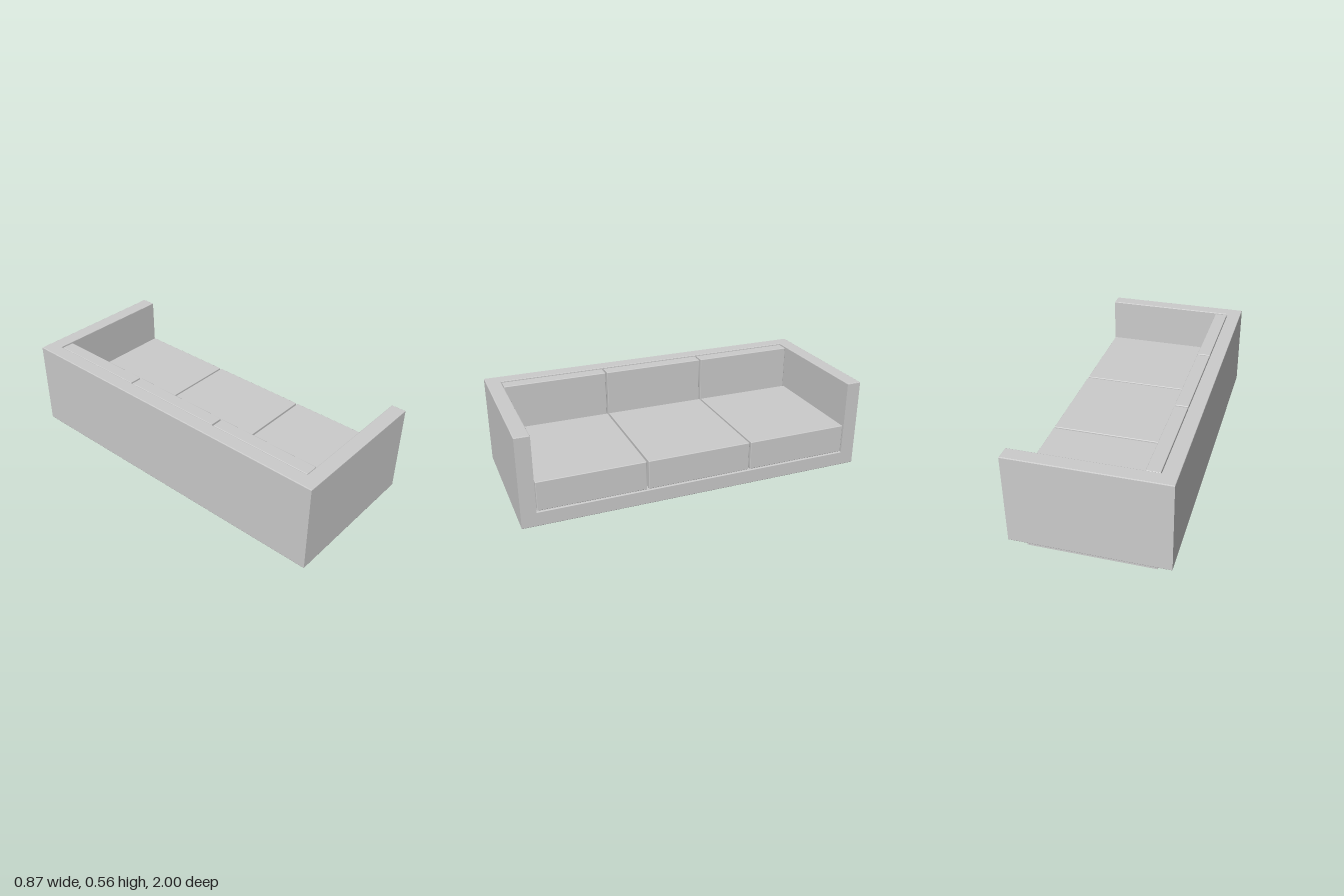
import * as THREE from 'three';
import { RoundedBoxGeometry } from 'three/addons/geometries/RoundedBoxGeometry.js';

const material = new THREE.MeshStandardMaterial({ color: 0xcccccc });
const BEVEL = 0.004;

// Soft-edged block given by its lower and upper limits on each axis
function block(name, [x0, x1], [y0, y1], [z0, z1]) {
  const geometry = new RoundedBoxGeometry(x1 - x0, y1 - y0, z1 - z0, 2, BEVEL);
  const mesh = new THREE.Mesh(geometry, material);
  mesh.name = name;
  mesh.position.set((x0 + x1) / 2, (y0 + y1) / 2, (z0 + z1) / 2);
  return mesh;
}

export function createModel() {
  const sofa = new THREE.Group();
  sofa.name = 'sofa';

  const depth = 0.433, half = 1, wall = 0.083;
  const bottom = 0.047, top = 0.565, deck = bottom + wall;
  const inner = half - wall, back = -depth + wall;

  // Arms and back: one U-shaped wall, open towards +x
  const plan = new THREE.Shape([
    [-depth, -half], [depth, -half], [depth, -inner], [back, -inner],
    [back, inner], [depth, inner], [depth, half], [-depth, half],
  ].map(([x, z]) => new THREE.Vector2(x, z)));
  const wallGeometry = new THREE.ExtrudeGeometry(plan, {
    depth: top - bottom - 2 * BEVEL,
    bevelThickness: BEVEL, bevelSize: BEVEL, bevelOffset: -BEVEL, bevelSegments: 2,
  });
  wallGeometry.rotateX(-Math.PI / 2).translate(0, bottom + BEVEL, 0);
  const walls = new THREE.Mesh(wallGeometry, material);
  walls.name = 'armsAndBack';
  sofa.add(walls);

  // Base deck, tucked into the walls
  sofa.add(block('base', [back - 0.03, depth], [bottom, deck], [-inner - 0.03, inner + 0.03]));

  // Three seat cushions with three back cushions behind them
  const gap = 0.005, pitch = (2 * inner) / 3;
  for (let i = 0; i < 3; i++) {
    const z = [-inner + i * pitch + gap, -inner + (i + 1) * pitch - gap];
    sofa.add(block('seatCushion', [-0.26, depth - 0.003], [deck + gap, 0.302], z));
    sofa.add(block('backCushion', [back + gap, -0.27], [deck + gap, top - gap], z));
  }

  // Runner feet beneath the arms
  for (const side of [-1, 1]) {
    const foot = new THREE.Mesh(new THREE.BoxGeometry(0.696, bottom + 0.002, 0.04), material);
    foot.name = side > 0 ? 'frontSideFoot' : 'rearSideFoot';
    foot.position.set(0, (bottom + 0.002) / 2, side * 0.941);
    sofa.add(foot);
  }
  return sofa;
}
